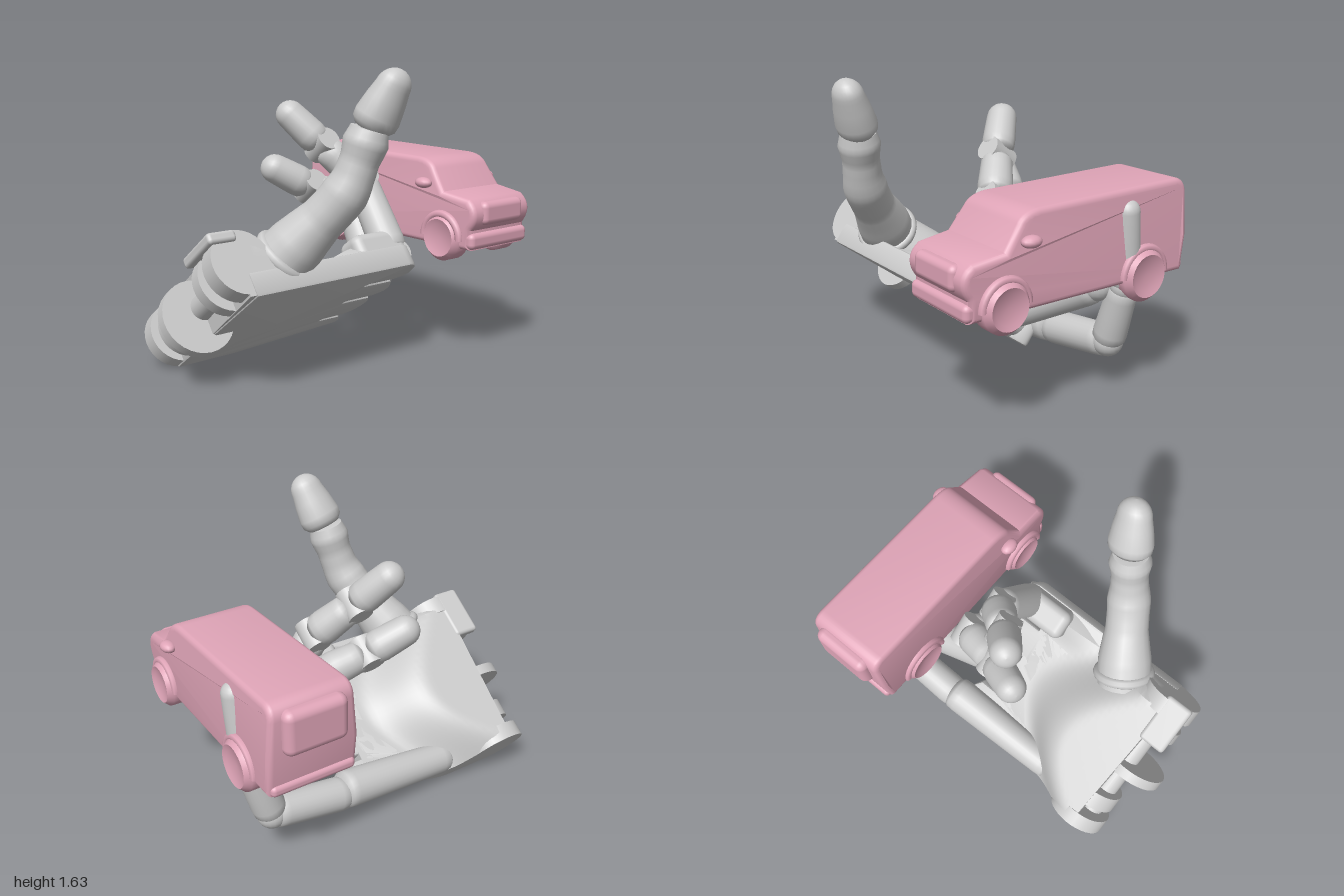
import * as THREE from 'three';
import { RoundedBoxGeometry } from 'three/addons/geometries/RoundedBoxGeometry.js';
import { toCreasedNormals } from 'three/addons/utils/BufferGeometryUtils.js';

const grey = new THREE.MeshStandardMaterial({ color: 0xcccccc });
const pink = new THREE.MeshStandardMaterial({ color: 0xe0a5b8 });
const V = (a) => new THREE.Vector3(...a);
const smooth = THREE.MathUtils.smoothstep;

function add(parent, name, geo, mat = grey) {
  const m = new THREE.Mesh(geo, mat);
  m.name = name;
  parent.add(m);
  return m;
}

// Tapered segment with rounded ends from a to b
function segment(parent, name, a, b, ra, rb, tip = false, flat = 1) {
  const p = V(a), d = V(b).sub(p), L = d.length();
  const pts = [[0, 0], [ra * 0.75, 0], [ra * 0.97, 0.03], [ra, 0.07], [(ra + rb) / 2, L * 0.5]];
  if (tip) for (let i = 0; i <= 6; i++) {
    const t = i / 6 * Math.PI / 2;
    pts.push([rb * Math.cos(t), L - rb + rb * Math.sin(t)]);
  } else pts.push([rb, L - 0.07], [rb * 0.97, L - 0.03], [rb * 0.75, L], [0, L]);
  const geo = new THREE.LatheGeometry(pts.map((q) => new THREE.Vector2(Math.max(q[0], 0), q[1])), 24);
  const m = add(parent, name, geo);
  m.position.copy(p);
  m.quaternion.setFromUnitVectors(new THREE.Vector3(0, 1, 0), d.normalize());
  m.scale.x = flat;
  return m;
}

// Disc whose axle runs across the palm
function disc(parent, name, u0, u1, v, z, r, mat = grey) {
  const geo = new THREE.CylinderGeometry(r, r, u1 - u0, 32).rotateZ(Math.PI / 2);
  return add(parent, name, geo, mat).position.set((u0 + u1) / 2, v, z);
}

function buildPalm(hand) {
  // Back plate with finger notches
  const s = new THREE.Shape();
  s.moveTo(0.02, 0.74);
  s.lineTo(0.02, 0.4);
  s.lineTo(0.16, -0.24);
  for (const [u, z] of [[0.27, -0.28], [0.53, -0.33], [0.76, -0.33]]) {
    s.quadraticCurveTo(u - 0.1, z, u - 0.03, z + 0.06);
    s.lineTo(u - 0.03, -0.08);
    s.quadraticCurveTo(u, -0.03, u + 0.03, -0.08);
    s.lineTo(u + 0.03, z + 0.06);
    s.quadraticCurveTo(u + 0.06, z, u + 0.08, z);
  }
  s.quadraticCurveTo(0.95, -0.32, 0.96, -0.24);
  s.lineTo(0.96, 0.74);
  const plate = new THREE.ExtrudeGeometry(s, { depth: 0.1, bevelSize: 0.015, bevelThickness: 0.015, bevelSegments: 2 });
  plate.rotateX(Math.PI / 2).translate(0, 0.115, 0);
  add(hand, 'palmPlate', toCreasedNormals(plate, 0.6));

  // Fleshy mound rising to the wrist
  const mound = new THREE.BoxGeometry(1, 1, 1, 24, 4, 28);
  const p = mound.attributes.position;
  for (let i = 0; i < p.count; i++) {
    const a = p.getX(i) + 0.5, h = p.getY(i) + 0.5, b = p.getZ(i) + 0.5;
    const z = -0.1 + b * (0.83 + 0.06 * a);
    const edge = 0.13 * (1 - smooth(z, -0.2, 0.45));
    const u = edge + a * (0.97 - edge);
    const start = 0.36 - 0.4 * Math.sin(Math.PI * a) * (1 - 0.4 * a);
    let top = 0.13 + 0.22 * smooth(z, start, start + 0.38);
    top += 0.06 * smooth(a, 0.75, 0.95) * (1 - smooth(z, 0, 0.3));
    top -= 0.07 * smooth(a, 0.92, 1);
    p.setXYZ(i, u, 0.01 + h * (top - 0.01), z);
  }
  add(hand, 'palmMound', toCreasedNormals(mound, 0.7));

  // Index knuckle block
  const block = add(hand, 'indexKnuckleBlock', new RoundedBoxGeometry(0.18, 0.2, 0.34, 3, 0.05));
  block.position.set(0.875, 0.14, -0.13);

  // Wrist fork lugs, axle and centre disc
  for (const [a, b, v, z, r] of [[0.0, 0.09, 0.18, 0.71, 0.175], [0.15, 0.25, 0.17, 0.71, 0.16],
    [0.72, 0.79, 0.18, 0.75, 0.17], [0.87, 0.97, 0.19, 0.76, 0.17]]) disc(hand, 'wristLug', a, b, v, z, r);
  disc(hand, 'wristDisc', 0.42, 0.48, 0.12, 0.8, 0.2);
  disc(hand, 'wristAxle', 0.02, 0.95, 0.16, 0.76, 0.07);
  const bridge = add(hand, 'wristBridge', new RoundedBoxGeometry(0.3, 0.06, 0.16, 2, 0.02));
  bridge.position.set(0.84, 0.33, 0.83);

  // Little finger metacarpal
  segment(hand, 'littleMetacarpal', [0.09, 0.11, 0.42], [0.12, 0.19, -0.34], 0.09, 0.105);
}

// A curled finger in a plane across the palm: joints as [v, z]
function curledFinger(hand, name, u, joints) {
  const f = new THREE.Group();
  f.name = name;
  hand.add(f);
  const r = [0.1, 0.095, 0.09, 0.085];
  for (let i = 0; i < 3; i++) {
    const a = V([u, ...joints[i]]), b = V([u, ...joints[i + 1]]);
    const gap = b.clone().sub(a).setLength(0.02);
    disc(f, 'joint', u - 0.08, u + 0.08, joints[i][0], joints[i][1], 0.07);
    segment(f, 'phalanx', a.add(gap).toArray(), b.sub(gap).toArray(), r[i], r[i + 1] * 0.97, i === 2);
  }
}

// A supporting finger through given points
function longFinger(parent, name, pts, radii) {
  const f = new THREE.Group();
  f.name = name;
  parent.add(f);
  for (let i = 0; i < pts.length - 1; i++) {
    segment(f, 'phalanx', pts[i], pts[i + 1], radii[i], radii[i + 1], i === pts.length - 2);
    add(f, 'joint', new THREE.SphereGeometry(radii[i] * 0.93, 20, 14)).position.set(...pts[i]);
  }
}

function buildThumb(parent) {
  const thumb = new THREE.Group();
  thumb.name = 'thumb';
  parent.add(thumb);
  // Lower thumb: a tube with varying radius
  const curve = new THREE.CatmullRomCurve3([[0.22, 0.64, 0.5], [0.34, 0.8, 0.4], [0.51, 1.04, 0.265], [0.555, 1.2, 0.215], [0.59, 1.37, 0.175]].map(V));
  const radii = [0.15, 0.155, 0.15, 0.135, 0.12, 0.118, 0.12, 0.105, 0.1, 0.115, 0.09];
  const n = 40, sides = 20;
  const geo = new THREE.TubeGeometry(curve, n, 1, sides);
  const p = geo.attributes.position, v = new THREE.Vector3();
  for (let i = 0; i <= n; i++) {
    const c = curve.getPointAt(i / n), k = Math.min(i / n * 10, 9.999), j = Math.floor(k);
    const r = i === 0 || i === n ? 0 : THREE.MathUtils.lerp(radii[j], radii[j + 1], k - j);
    for (let q = 0; q <= sides; q++) {
      const id = i * (sides + 1) + q;
      v.fromBufferAttribute(p, id).sub(c).multiplyScalar(r).add(c);
      p.setXYZ(id, v.x, v.y, v.z);
    }
  }
  add(thumb, 'thumbLower', toCreasedNormals(geo, 0.8));
  segment(thumb, 'thumbTip', [0.585, 1.35, 0.17], [0.705, 1.635, 0.085], 0.125, 0.095, true, 0.85);
  // Socket collar
  const ring = add(thumb, 'thumbCollar', new THREE.TorusGeometry(0.145, 0.03, 10, 32));
  ring.position.set(0.265, 0.7, 0.46);
  ring.lookAt(0.42, 0.92, 0.33);
}

function buildVan(parent) {
  const van = new THREE.Group();
  van.name = 'van';
  parent.add(van);
  // Body from its side profile, narrowing towards the roof
  const s = new THREE.Shape();
  s.moveTo(-0.65, 0.69);
  s.lineTo(0.63, 0.69);
  s.lineTo(0.63, 0.78);
  s.quadraticCurveTo(0.7, 0.86, 0.63, 0.91);
  s.lineTo(0.45, 0.935);
  s.lineTo(0.36, 1.06);
  s.quadraticCurveTo(0.34, 1.1, 0.26, 1.105);
  s.lineTo(-0.62, 1.12);
  s.quadraticCurveTo(-0.67, 1.12, -0.67, 1.07);
  s.lineTo(-0.67, 0.85);
  const geo = new THREE.ExtrudeGeometry(s, { depth: 0.43, bevelSize: 0.03, bevelThickness: 0.03, bevelSegments: 4, curveSegments: 8 });
  geo.translate(0, 0, -0.215);
  const p = geo.attributes.position;
  for (let i = 0; i < p.count; i++) {
    const k = 1 - 0.09 * smooth(p.getY(i), 0.88, 1.15) - 0.06 * smooth(p.getX(i), 0.5, 0.7);
    p.setZ(i, p.getZ(i) * k - 0.7);
  }
  add(van, 'vanBody', toCreasedNormals(geo, 0.6), pink);

  const box = (name, size, pos, r) => add(van, name, new RoundedBoxGeometry(...size, 3, r), pink).position.set(...pos);
  box('rearSpare', [0.1, 0.24, 0.34], [-0.7, 1.0, -0.7], 0.045);
  box('frontBumper', [0.08, 0.09, 0.46], [0.645, 0.71, -0.7], 0.03);
  box('rearBumper', [0.06, 0.06, 0.46], [-0.67, 0.69, -0.7], 0.025);
  box('grille', [0.08, 0.13, 0.32], [0.67, 0.86, -0.7], 0.035);
  box('roofSeam', [0.05, 0.03, 0.42], [0.33, 1.095, -0.7], 0.014);
  // Wheels, arches and mirrors on both sides
  for (const side of [1, -1]) {
    for (const [x, y, r] of [[-0.4, 0.69, 0.14], [0.47, 0.71, 0.13]]) {
      const prof = [[0, -0.07], [r * 0.8, -0.07], [r, -0.04], [r, 0.04], [r * 0.8, 0.07], [r * 0.6, 0.06], [0, 0.05]];
      const w = new THREE.LatheGeometry(prof.map((q) => new THREE.Vector2(...q)), 28);
      const m = add(van, 'wheel', toCreasedNormals(w, 0.9), pink);
      m.position.set(x, y, -0.705 + side * 0.205);
      m.rotation.x = side * Math.PI / 2;
      const arch = add(van, 'wheelArch', new THREE.TorusGeometry(r, 0.022, 8, 20, Math.PI), pink);
      arch.position.set(x, y, -0.7 + side * 0.24);
    }
    const mirror = add(van, 'mirror', new THREE.SphereGeometry(1, 14, 10), pink);
    mirror.position.set(0.34, 1.0, -0.7 + side * 0.255);
    mirror.scale.set(0.055, 0.03, 0.04);
  }
}

export function createModel() {
  const model = new THREE.Group();
  model.name = 'handHoldingVan';

  // The palm is tilted about the forearm axis
  const hand = new THREE.Group();
  hand.name = 'hand';
  hand.position.set(-0.33, 0.005, 0);
  hand.rotation.z = 0.634;
  model.add(hand);

  buildPalm(hand);
  curledFinger(hand, 'indexFinger', 0.875, [[0.1, -0.24], [0.59, -0.26], [0.83, -0.09], [1.13, 0.09]]);
  curledFinger(hand, 'middleFinger', 0.65, [[0.1, -0.27], [0.58, -0.33], [0.69, -0.08], [0.89, 0.19]]);
  disc(hand, 'ringKnuckle', 0.33, 0.5, 0.1, -0.26, 0.09);

  longFinger(model, 'ringFinger', [[-0.07, 0.34, -0.28], [-0.27, 0.61, -0.74], [-0.25, 0.9, -0.76]], [0.09, 0.1, 0.08]);
  longFinger(model, 'littleFinger', [[-0.35, 0.21, -0.3], [-0.35, 0.28, -0.76], [-0.34, 0.62, -0.87], [-0.3, 1.09, -0.905]],
    [0.095, 0.09, 0.08, 0.065]);

  buildThumb(model);
  buildVan(model);
  return model;
}
